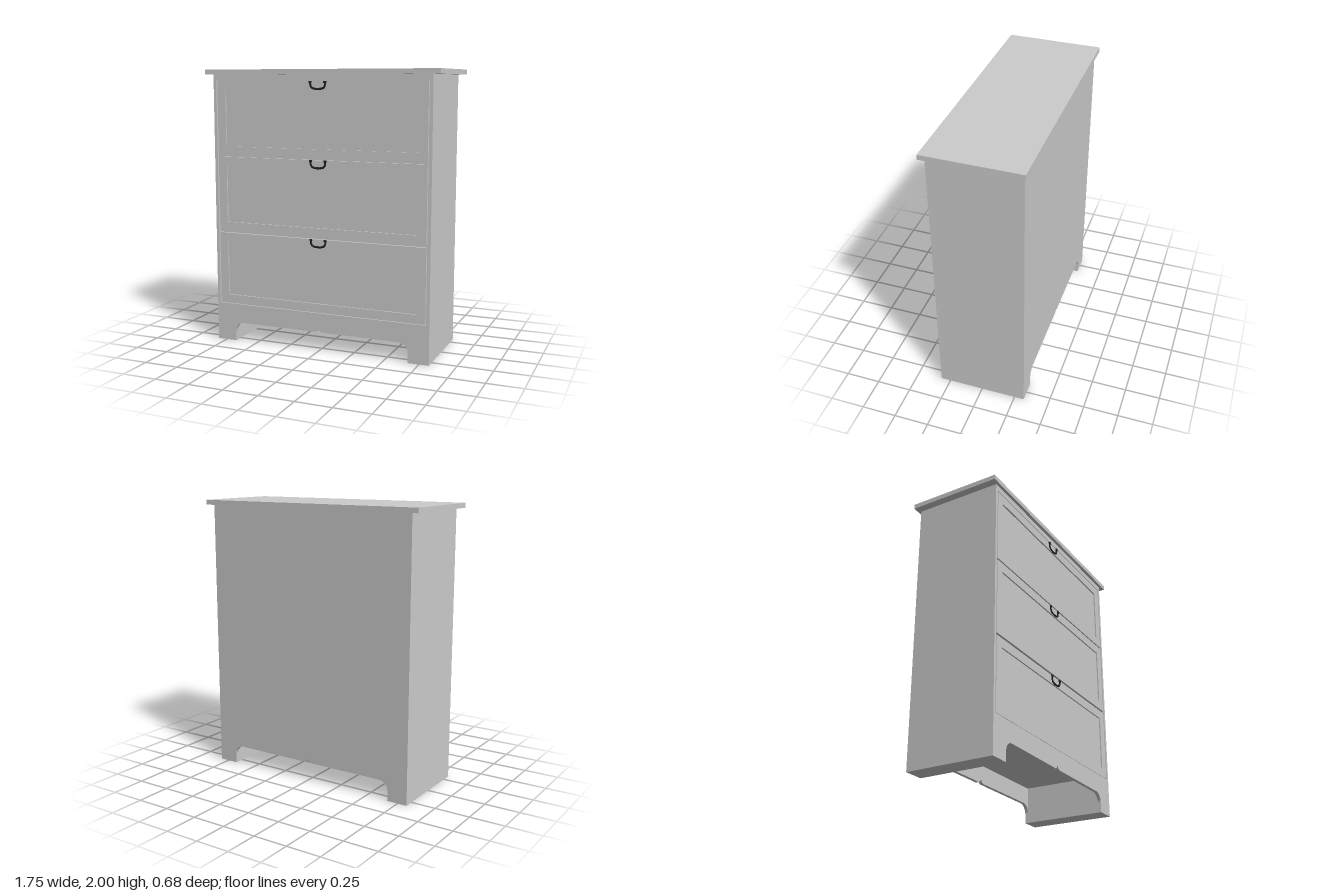
import * as THREE from 'three';

const grey = new THREE.MeshStandardMaterial({ color: 0xcccccc });
const dark = new THREE.MeshStandardMaterial({ color: 0x222222 });

function add(parent, name, geometry, x = 0, y = 0, z = 0, material = grey) {
  const mesh = new THREE.Mesh(geometry, material);
  mesh.name = name;
  mesh.position.set(x, y, z);
  parent.add(mesh);
  return mesh;
}

// rectangle outline from edges
function rect(x, y0, y1, Type = THREE.Shape) {
  return new Type([[-x, y0], [x, y0], [x, y1], [-x, y1]].map(p => new THREE.Vector2(...p)));
}

// rectangular frame: outer rectangle with one rectangular hole
function frame(outer, inner, depth) {
  const shape = rect(...outer);
  shape.holes.push(rect(...inner, THREE.Path));
  return new THREE.ExtrudeGeometry(shape, { depth, bevelEnabled: false });
}

const HALF = 0.82, FRONT = 0.32, BASE = 0.27, BODY_TOP = 1.965;

// apron with rounded arch and a small cusp in the middle
function apronGeometry(depth) {
  const s = new THREE.Shape();
  s.moveTo(-HALF, 0);
  s.lineTo(-0.67, 0);
  s.lineTo(-0.67, 0.07);
  s.absarc(-0.6, 0.07, 0.07, Math.PI, Math.PI / 2, true);
  s.lineTo(-0.03, 0.14);
  s.quadraticCurveTo(-0.005, 0.143, 0, 0.175);
  s.quadraticCurveTo(0.005, 0.143, 0.03, 0.14);
  s.lineTo(0.6, 0.14);
  s.absarc(0.6, 0.07, 0.07, Math.PI / 2, 0, true);
  s.lineTo(0.67, 0);
  s.lineTo(HALF, 0);
  s.lineTo(HALF, BASE);
  s.lineTo(-HALF, BASE);
  return new THREE.ExtrudeGeometry(s, { depth, bevelEnabled: false, curveSegments: 10 });
}

// U-shaped pull with two small feet
function makeHandle() {
  const handle = new THREE.Group();
  handle.name = 'handle';
  const points = [[-0.055, 0.056], [-0.054, 0.032], [-0.043, 0.015], [-0.02, 0.008], [0, 0.007],
    [0.02, 0.008], [0.043, 0.015], [0.054, 0.032], [0.055, 0.056]];
  const path = new THREE.CatmullRomCurve3(points.map(([x, y]) => new THREE.Vector3(x, y, 0)));
  add(handle, 'handleBow', new THREE.TubeGeometry(path, 32, 0.0075, 8), 0, 0, 0, dark);
  for (const side of [-1, 1]) {
    add(handle, 'handleFoot', new THREE.BoxGeometry(0.019, 0.014, 0.016), side * 0.055, 0.055, 0, dark);
  }
  return handle;
}

// drawer front: rim around a shallow sunken panel
function makeDrawer(y0, y1) {
  const drawer = new THREE.Group();
  drawer.name = 'drawer';
  add(drawer, 'drawerRim', frame([0.79, y0, y1], [0.725, y0 + 0.065, y1 - 0.065], 0.018), 0, 0, FRONT - 0.019);
  add(drawer, 'drawerPanel', new THREE.BoxGeometry(1.46, y1 - y0 - 0.12, 0.01), 0, (y0 + y1) / 2, FRONT - 0.016);
  const handle = makeHandle();
  handle.position.set(0, y1 - 0.062, FRONT);
  drawer.add(handle);
  return drawer;
}

export function createModel() {
  const model = new THREE.Group();
  model.name = 'chestOfDrawers';

  // top board and carcass
  add(model, 'topBoard', new THREE.BoxGeometry(1.75, 0.035, 0.684), 0, 1.9825, 0);
  add(model, 'carcass', new THREE.BoxGeometry(HALF * 2, BODY_TOP - BASE, 0.62), 0, (BASE + BODY_TOP) / 2, -0.01);
  add(model, 'frontFrame', frame([HALF, BASE, BODY_TOP], [0.798, 0.28, 1.925], 0.02), 0, 0, FRONT - 0.02);

  // base: front and back aprons joined by solid feet
  const t = 0.025;
  const apron = apronGeometry(t);
  add(model, 'frontApron', apron, 0, 0, FRONT - t);
  add(model, 'backApron', apron, 0, 0, -FRONT);
  for (const side of [-1, 1]) {
    add(model, 'foot', new THREE.BoxGeometry(0.15, BASE, (FRONT - t) * 2), side * 0.745, BASE / 2, 0);
  }

  // drawers
  for (const [y0, y1] of [[0.283, 0.815], [0.83, 1.374], [1.385, 1.92]]) model.add(makeDrawer(y0, y1));

  return model;
}
